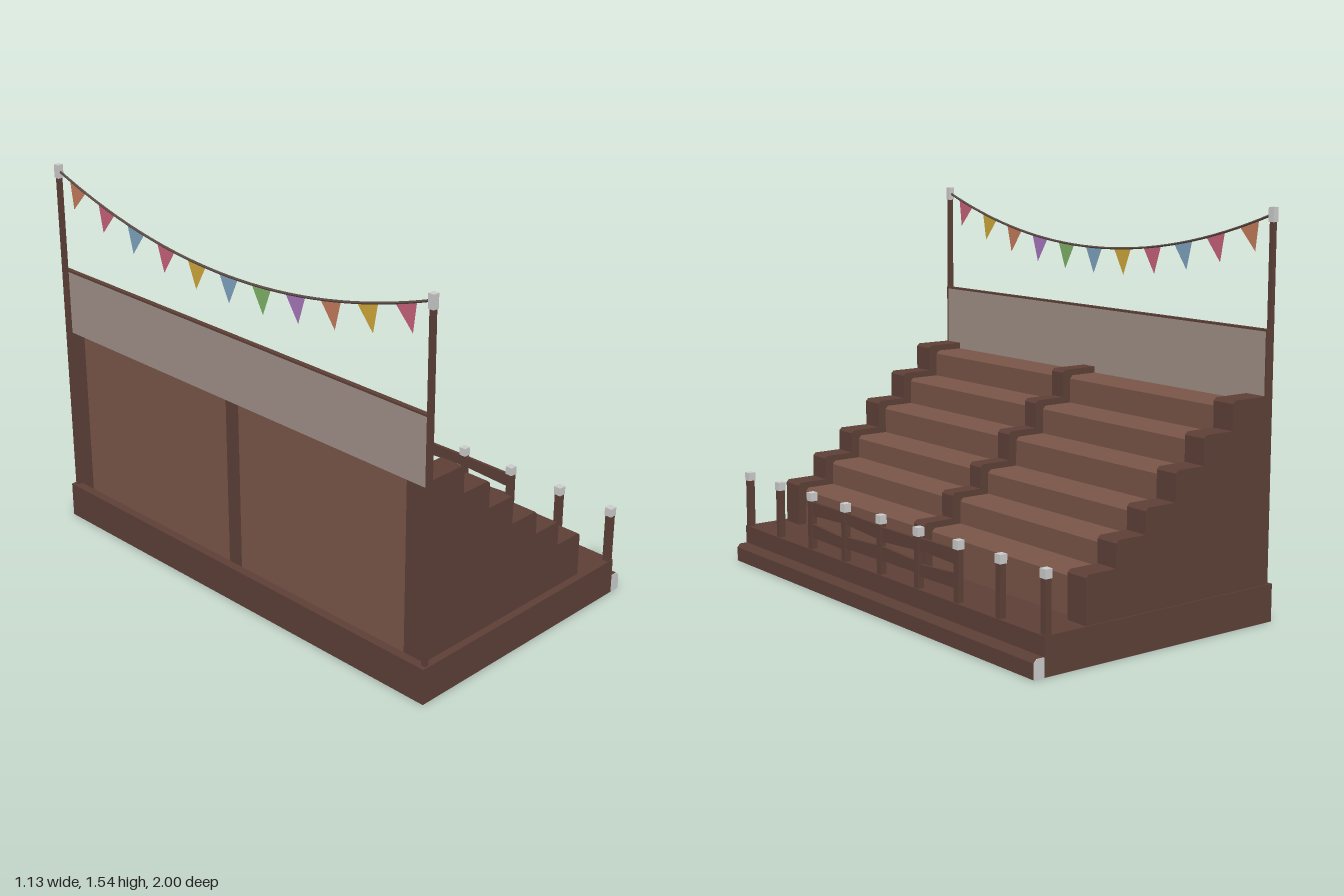
import * as THREE from 'three';

const mat = (color, extra = {}) => new THREE.MeshStandardMaterial({ color, flatShading: true, ...extra });
const darkWood = mat(0x5d4037);
const lightWood = mat(0x795548);
const boardMat = mat(0xa09088);
const grey = mat(0xcccccc);

// Fronts (x) and heights (y) of the steps, top to bottom
const STEPS = [[-0.35, 0.855], [-0.21, 0.745], [-0.075, 0.635], [0.065, 0.52], [0.2, 0.425], [0.335, 0.325]];
const BASE_TOP = 0.145, BACK = -0.535, BOARD_FRONT = -0.517, BOARD_BOTTOM = 0.83;

export function createModel() {
  const model = new THREE.Group();

  const add = (name, geometry, material, parent = model) => {
    const mesh = new THREE.Mesh(geometry, material);
    mesh.name = name;
    parent.add(mesh);
    return mesh;
  };
  // Box given by its extents
  const box = (name, x0, x1, y0, y1, z0, z1, material, parent) => {
    const mesh = add(name, new THREE.BoxGeometry(x1 - x0, y1 - y0, z1 - z0), material, parent);
    mesh.position.set((x0 + x1) / 2, (y0 + y1) / 2, (z0 + z1) / 2);
    return mesh;
  };
  // Side profile pushed along z
  const slab = (name, points, z0, z1, material) => {
    const shape = new THREE.Shape(points.map(([x, y]) => new THREE.Vector2(x, y)));
    const geometry = new THREE.ExtrudeGeometry(shape, { depth: z1 - z0, bevelEnabled: false });
    geometry.translate(0, 0, z0);
    return add(name, geometry, material);
  };
  // Stepped outline with clipped nosings, shifted back and down by an inset
  const stairOutline = (insetX, insetY, clip) => {
    const pts = [[BACK, BASE_TOP], [BACK, BOARD_BOTTOM], [BOARD_FRONT, BOARD_BOTTOM]];
    if (insetY < 0.02) pts.push([BOARD_FRONT, STEPS[0][1]]);
    STEPS.forEach(([sx, sy], i) => {
      const x = sx - insetX, y = sy - insetY;
      const below = i < STEPS.length - 1 ? STEPS[i + 1][1] - insetY : BASE_TOP;
      pts.push([x - clip, y], [x, y - clip], [x, below]);
    });
    return pts;
  };

  // Platform and front kick step with grey end caps
  box('platform', -0.57, 0.52, 0, BASE_TOP, -1, 1, darkWood);
  const kick = [[0.52, 0], [0.565, 0], [0.565, 0.058], [0.553, 0.072], [0.52, 0.072]];
  slab('kickStep', kick, -0.997, 0.997, darkWood);
  slab('kickStepCapLeft', kick, -1, -0.997, grey);
  slab('kickStepCapRight', kick, 0.997, 1, grey);

  // Three stepped carriers with the seating tiers between them
  const carriers = [[-0.995, -0.897], [-0.045, 0.024], [0.873, 0.97]];
  carriers.forEach(([z0, z1], i) => {
    slab('stairCarrier' + (i + 1), stairOutline(0, 0, 0.011), z0, z1, darkWood);
    if (i > 0) slab('seatTiers' + i, stairOutline(0.037, 0.025, 0.013), carriers[i - 1][1], z0, lightWood);
  });

  // Backboard with dark trim
  const zA = -0.995, zB = 0.97, t = 0.008;
  box('backboard', BACK, BOARD_FRONT, BOARD_BOTTOM, 1.1 - t, zA + t, zB - t, boardMat);
  box('backboardTopTrim', BACK, BOARD_FRONT, 1.1 - t, 1.1, zA, zB, darkWood);
  box('backboardEndTrim1', BACK, BOARD_FRONT, BOARD_BOTTOM, 1.1 - t, zA, zA + t, darkWood);
  box('backboardEndTrim2', BACK, BOARD_FRONT, BOARD_BOTTOM, 1.1 - t, zB - t, zB, darkWood);

  // Square post with a slightly wider grey cap
  const post = (name, x, z, top, capHeight, width, capWidth) => {
    const group = new THREE.Group();
    group.name = name;
    model.add(group);
    const w = width / 2, c = capWidth / 2;
    box('post', x - w, x + w, BASE_TOP, top - capHeight, z - w, z + w, darkWood, group);
    box('postCap', x - c, x + c, top - capHeight, top, z - c, z + c, grey, group);
  };
  const poleX = -0.545;
  for (const z of [-0.983, 0.983]) post('flagPole', poleX, z, 1.54, 0.054, 0.018, 0.025);

  // Front fence: nine posts, uneven planks in the four middle bays
  const fenceX = 0.503, postZ = (i) => 0.985 - i * 0.2463;
  for (let i = 0; i < 9; i++) post('fencePost', fenceX, postZ(i), 0.375, 0.034, 0.026, 0.031);
  // Each bay: upper y, upper tilt, lower y, lower tilt
  const bays = [[0.312, 0.02, 0.215, -0.04], [0.31, -0.04, 0.222, 0.03], [0.305, 0.03, 0.225, -0.02], [0.312, -0.01, 0.218, 0.04]];
  bays.forEach(([y1, r1, y2, r2], i) => {
    [[y1, r1], [y2, r2]].forEach(([y, tilt], k) => {
      const z0 = postZ(i + 3), z1 = postZ(i + 2);
      const rail = box(k ? 'lowerRail' : 'upperRail', fenceX - 0.006, fenceX + 0.006, y - 0.028, y + 0.028, z0, z1, darkWood);
      // Rough-hewn edges: narrow one end of the plank
      const p = rail.geometry.attributes.position;
      for (let v = 0; v < p.count; v++) {
        if (p.getZ(v) * (i % 2 ? 1 : -1) > 0) p.setY(v, p.getY(v) * 0.8);
      }
      rail.geometry.computeVertexNormals();
      rail.rotation.x = tilt;
    });
  });

  // Sagging bunting line
  const rope = new THREE.QuadraticBezierCurve3(
    new THREE.Vector3(poleX, 1.515, 0.983),
    new THREE.Vector3(poleX, 1.155, 0),
    new THREE.Vector3(poleX, 1.515, -0.983));
  add('buntingRope', new THREE.TubeGeometry(rope, 32, 0.005, 6), mat(0x5d4c45));

  // Pennants hanging square to the line
  const [red, yellow, orange, purple, green, blue] =
    [0xc8637a, 0xd0a83a, 0xc47c5c, 0xa877bd, 0x80b468, 0x7fa4c0].map((c) => mat(c, { side: THREE.DoubleSide }));
  const flagShape = new THREE.Shape([new THREE.Vector2(-0.05, 0), new THREE.Vector2(0, -0.105), new THREE.Vector2(0.05, 0)]);
  const flagGeometry = new THREE.ShapeGeometry(flagShape).rotateY(Math.PI / 2);
  [red, yellow, orange, purple, green, blue, yellow, red, blue, red, orange].forEach((material, i) => {
    const u = 0.5 + (i - 5) * 0.088;
    const tangent = rope.getTangent(u);
    const flag = add('pennant', flagGeometry, material);
    flag.position.copy(rope.getPoint(u));
    flag.rotation.x = Math.atan2(tangent.y, -tangent.z);
  });

  return model;
}
